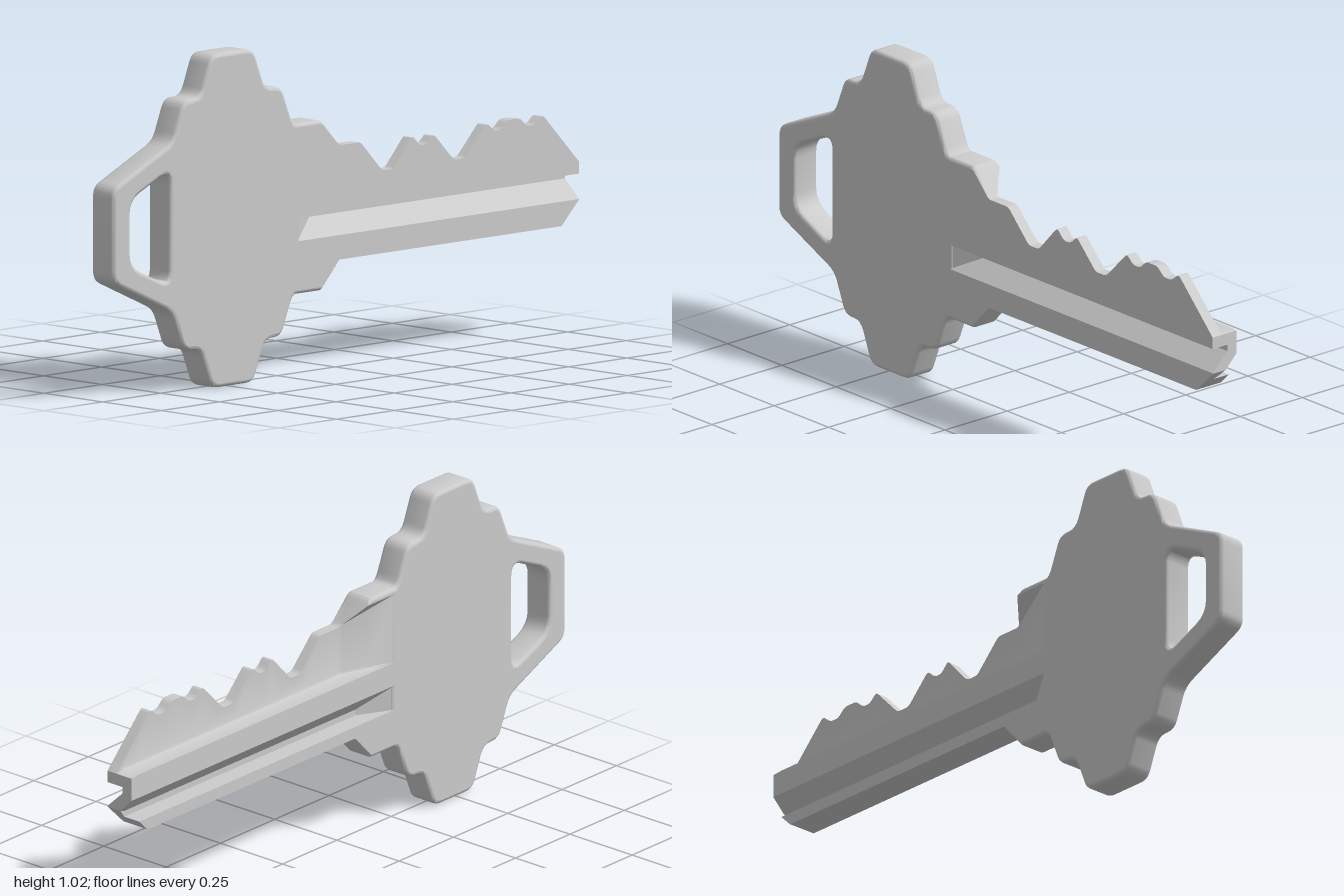
import * as THREE from 'three';
import { toCreasedNormals } from 'three/addons/utils/BufferGeometryUtils.js';

const H = 0.048;        // half thickness
const JOIN = -0.21;     // where the bow ends and the blade begins
const EDGE = 0.012;     // rounding of the bow's edges
const MID = 0.511;      // height of the bow's mirror line

const clamp01 = (t) => Math.min(1, Math.max(0, t));

// Replaces corners of a polyline with small curves; open ends stay put.
function rounded(points, radius, closed) {
  const v = points.map(([x, y]) => new THREE.Vector2(x, y));
  const out = [];
  v.forEach((p, i) => {
    const n = v.length;
    const sharp = points[i][2] || (!closed && (i === 0 || i === n - 1));
    if (sharp) return out.push(p);
    const a = v[(i + n - 1) % n], b = v[(i + 1) % n];
    const toward = (q) => p.clone().lerp(q, Math.min(0.45, radius / p.distanceTo(q)));
    out.push(...new THREE.QuadraticBezierCurve(toward(a), p, toward(b)).getPoints(4));
  });
  return out;
}

// Height of a polyline at x.
function heightAt(line, x) {
  for (let i = 1; i < line.length; i++) {
    const a = line[i - 1], b = line[i];
    if (x <= b.x) return a.y + (b.y - a.y) * clamp01((x - a.x) / (b.x - a.x || 1));
  }
  return line[line.length - 1].y;
}

// Smooth normals on the rounded edges, while the two broad faces stay flat.
function shaded(geometry, angle) {
  const geo = toCreasedNormals(geometry, angle);
  const { position, normal } = geo.attributes;
  for (let i = 0; i < position.count; i += 3) {
    const side = Math.sign(position.getZ(i));
    const broad = [i, i + 1, i + 2].every((k) => Math.abs(position.getZ(k) - side * H) < 1e-5);
    if (broad) for (let k = i; k < i + 3; k++) normal.setXYZ(k, 0, 0, side);
  }
  return geo;
}

// Stepped bow with a ring hole and soft edges.
function bowGeometry() {
  const upper = [
    [-1, 0.655], [-0.745, 0.77], [-0.695, 0.895], [-0.625, 0.895], [-0.575, 1.022],
    [-0.395, 1.022], [-0.345, 0.895], [-0.275, 0.895], [-0.225, 0.772], [JOIN + EDGE, 0.772, true],
  ];
  const lower = upper.map(([x, y, s]) => [x, 2 * MID - y, s]).reverse();
  const shape = new THREE.Shape(rounded([...upper, ...lower], 0.03, true));
  const hole = [[-0.925, 0.41], [-0.755, 0.334], [-0.755, 0.688], [-0.925, 0.612]];
  shape.holes.push(new THREE.Path(rounded(hole, 0.045, true)));
  const depth = 2 * (H - EDGE);
  const geo = new THREE.ExtrudeGeometry(shape, {
    depth, bevelThickness: EDGE, bevelSize: EDGE, bevelOffset: -EDGE, bevelSegments: 3,
  });
  return shaded(geo.translate(0, 0, -depth / 2), 0.62);
}

// Cut edge and lower edge of the blade.
const cutEdge = rounded([
  [JOIN, 0.772], [-0.105, 0.772], [-0.03, 0.687], [0.06, 0.687], [0.155, 0.59], [0.2, 0.59],
  [0.285, 0.682], [0.315, 0.65], [0.345, 0.65], [0.375, 0.678], [0.462, 0.59], [0.51, 0.59],
  [0.605, 0.687], [0.635, 0.66], [0.665, 0.66], [0.695, 0.687], [0.745, 0.687], [0.775, 0.66],
  [0.81, 0.66], [0.843, 0.687], [1, 0.527],
], 0.012, false);
const lowerEdge = rounded([
  [JOIN, 0.25], [-0.105, 0.25], [-0.03, 0.337], [0.925, 0.337], [1, 0.41],
], 0.004, false);

// Quarter circle in the cross-section, as [z, y].
function arc(z, y, r, quarter) {
  return [0, 1, 2, 3, 4].map((i) => {
    const a = (quarter + i / 4) * Math.PI / 2;
    return [z + r * Math.cos(a), y + r * Math.sin(a)];
  });
}

// Cross-section of the blade at x, as [z, y] from front top round the back.
function section(x) {
  const top = heightAt(cutEdge, x), bottom = heightAt(lowerEdge, x);
  const soft = EDGE * clamp01((-0.03 - x) / 0.07);
  const floor = -H + 0.06 * clamp01((x - JOIN) / 0.18);   // back recess behind the teeth
  const groove = 0.06 * clamp01((x - JOIN) / 0.11);       // depth of both keyway grooves
  const backTop = Math.max(-H, Math.min(floor, 0.012 - (top - 0.69) * 0.94));
  const topSoft = backTop < -0.047 ? Math.min(soft, Math.max(0, top - 0.754)) : 0;
  const backGroove = Math.min(groove, 0.454 - bottom);
  const grooveZ = -H + backGroove;
  const open = bottom > 0.375;                             // tip bevel has cut into the groove
  const lowZ = open ? grooveZ : -H, lipY = Math.max(0.375, bottom);
  const ledge = [[0, 0.542], [0.0035, 0.5335], [0.012, 0.53]];
  return [
    ...arc(H - soft, top - soft, soft, 0),
    ...arc(backTop + topSoft, top - topSoft, topSoft, 1),
    [backTop, Math.min(top - topSoft, 0.754)],
    [floor, Math.min(top, 0.69 + (0.012 - floor) * 1.067)],
    ...ledge.map(([dz, y]) => [Math.max(-H, floor - dz), Math.min(top, y)]),
    [-H, Math.min(top, 0.53)],
    [-H, 0.454], [grooveZ, 0.454 - backGroove], [grooveZ, lipY], [lowZ, lipY],
    ...arc(lowZ + soft, bottom + soft, soft, 2),
    ...arc(H - soft, bottom + soft, soft, 3),
    [H, 0.412], [H - groove, 0.412 + groove * 0.95], [H - groove, 0.49], [H, 0.49],
  ];
}

// Blade skin: the cross-sections joined along x.
function bladeGeometry() {
  const xs = [...cutEdge, ...lowerEdge].map((p) => p.x);
  const tipCut = 0.925 + 0.075 * (0.375 - 0.337) / 0.073;
  xs.push(-0.1, -0.0895, -0.03, tipCut - 0.0001, tipCut + 0.0001);
  xs.sort((a, b) => a - b);
  const stations = xs.filter((x, i) => i === 0 || x - xs[i - 1] > 1e-5);
  const pos = [];
  const triangle = (...c) => {
    const [a, b, d] = c.map((p) => new THREE.Vector3(...p));
    if (b.clone().sub(a).cross(d.clone().sub(a)).length() > 1e-9) c.forEach((p) => pos.push(...p));
  };
  for (let i = 1; i < stations.length; i++) {
    const s0 = section(stations[i - 1]), s1 = section(stations[i]);
    const at = (k, s, x) => [x, s[k][1], s[k][0]];
    s0.forEach((_, j) => {
      const k = (j + 1) % s0.length;
      const a0 = at(j, s0, stations[i - 1]), a1 = at(j, s1, stations[i]);
      const b0 = at(k, s0, stations[i - 1]), b1 = at(k, s1, stations[i]);
      triangle(a0, a1, b1);
      triangle(a0, b1, b0);
    });
  }
  const geo = new THREE.BufferGeometry();
  geo.setAttribute('position', new THREE.Float32BufferAttribute(pos, 3));
  return shaded(geo, 0.41);
}

// Flat end of the blade.
function tipGeometry() {
  const outline = section(1)
    .map(([z, y]) => new THREE.Vector2(-z, y))
    .filter((p, i, all) => i === 0 || p.distanceTo(all[i - 1]) > 1e-4);
  return new THREE.ShapeGeometry(new THREE.Shape(outline)).rotateY(Math.PI / 2).translate(1, 0, 0);
}

export function createModel() {
  const group = new THREE.Group();
  group.name = 'key';
  const metal = new THREE.MeshStandardMaterial({ color: 0xcccccc });
  const parts = { bow: bowGeometry(), blade: bladeGeometry(), bladeTip: tipGeometry() };
  for (const [name, geometry] of Object.entries(parts)) {
    const mesh = new THREE.Mesh(geometry, metal);
    mesh.name = name;
    group.add(mesh);
  }
  return group;
}
